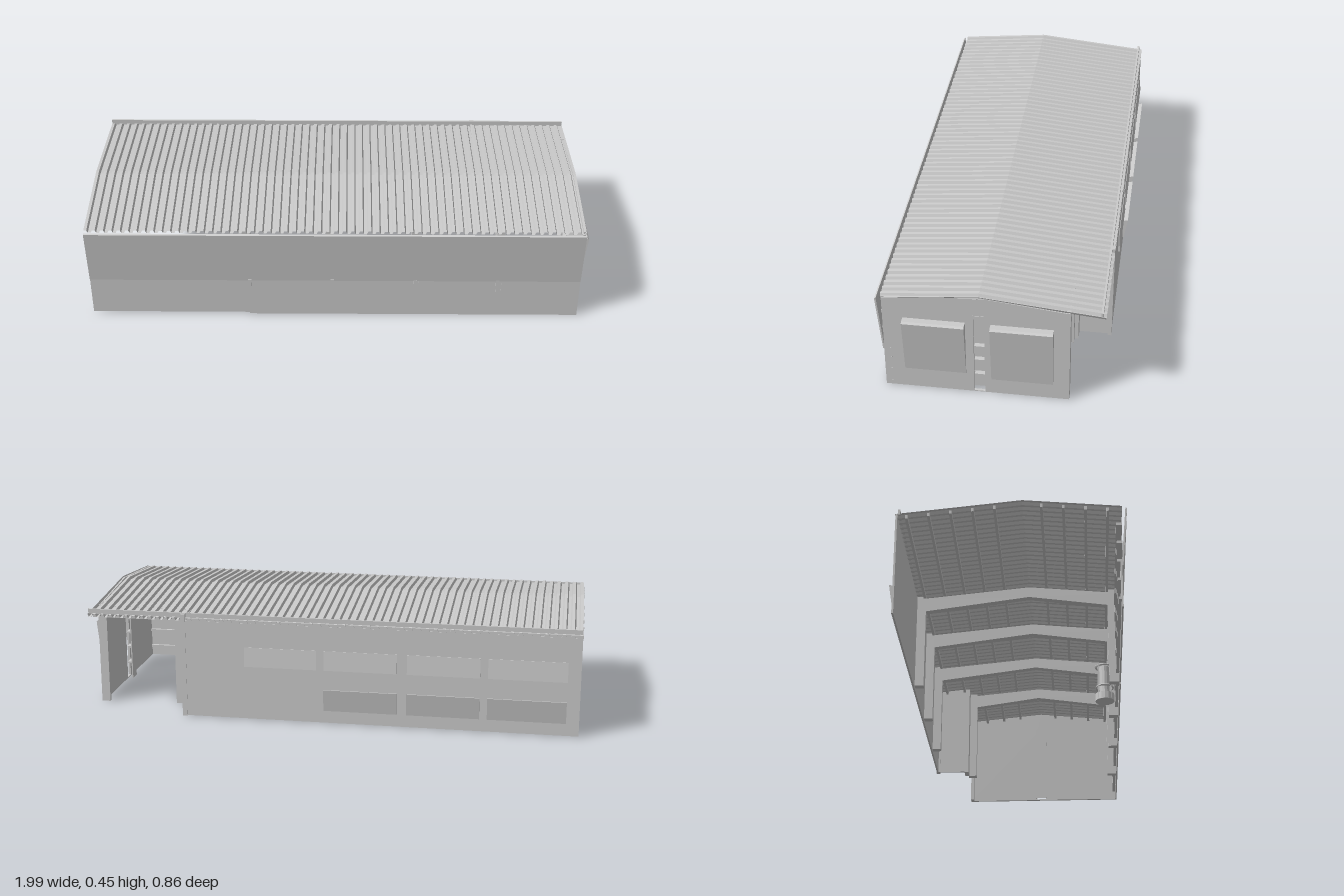
import * as THREE from 'three';

const mat = new THREE.MeshStandardMaterial({ color: 0xcccccc, flatShading: true, side: THREE.DoubleSide });
const X0 = -0.99, X1 = 0.97, RIDGE = 0.05, NOTCH_X = 0.58, NOTCH_Z = -0.285;

// Underside height of the roof line at a given depth
const roofY = z => z > RIDGE ? 0.455 - (z - RIDGE) / 0.36 * 0.035 : 0.455 - (RIDGE - z) / 0.46 * 0.045;

export function createModel() {
  const model = new THREE.Group();
  const add = (name, geo) => {
    const mesh = new THREE.Mesh(geo, mat);
    mesh.name = name;
    model.add(mesh);
    return mesh;
  };
  // Box given by its minimum and maximum corners
  const box = (name, x0, x1, y0, y1, z0, z1) => {
    const mesh = add(name, new THREE.BoxGeometry(x1 - x0, y1 - y0, z1 - z0));
    mesh.position.set((x0 + x1) / 2, (y0 + y1) / 2, (z0 + z1) / 2);
    return mesh;
  };
  const toShape = pts => new THREE.Shape(pts.map(p => new THREE.Vector2(...p)));
  // Profile of [z, y] points extruded along x
  const prism = (name, pts, x0, x1, hole) => {
    const shape = toShape(pts);
    if (hole) shape.holes.push(new THREE.Path(hole.map(p => new THREE.Vector2(...p))));
    const geo = new THREE.ExtrudeGeometry(shape, { depth: x1 - x0, bevelEnabled: false });
    geo.rotateY(-Math.PI / 2);
    add(name, geo).position.x = x1;
  };

  // Corrugated roof slopes with ribs running from ridge to eave
  const corrugated = (name, zA, zB) => {
    const ribs = 60, pitch = (X1 - X0) / ribs, depth = 0.011, pos = [], index = [];
    const profile = [[0, 0], [0.35, 0], [0.5, 1], [0.85, 1]];
    for (let i = 0; i < ribs; i++) for (const [u, d] of profile) {
      const x = X0 + (i + u) * pitch;
      for (const z of [zA, zB]) pos.push(x, roofY(z) - d * depth, z);
    }
    for (const z of [zA, zB]) pos.push(X1, roofY(z), z);
    for (let k = 0; k < ribs * 4; k++) {
      const a = k * 2;
      index.push(a, a + 1, a + 2, a + 2, a + 1, a + 3);
    }
    const geo = new THREE.BufferGeometry();
    geo.setAttribute('position', new THREE.Float32BufferAttribute(pos, 3));
    geo.setIndex(index);
    const flat = geo.toNonIndexed();
    flat.computeVertexNormals();
    add(name, flat);
  };
  corrugated('frontRoof', 0.412, RIDGE);
  corrugated('backRoof', RIDGE, -0.412);
  box('backEaveRim', X0, X1, 0.408, 0.428, -0.401, -0.393);

  // Purlins under both slopes
  for (const z of [-0.37, -0.29, -0.21, -0.13, -0.05, 0.12, 0.2, 0.28, 0.36])
    box('purlin', X0 - 0.003, X1 - 0.01, roofY(z) - 0.026, roofY(z) - 0.012, z - 0.005, z + 0.005);

  // Front wall: upright lower sheet and outward leaning upper sheet
  box('frontWallRight', -0.355, X1, 0.002, 0.2, 0.4, 0.406);
  box('frontWallLeft', X0, -0.355, 0.01, 0.2, 0.4, 0.406);
  prism('frontLeaningSheet', [[0.404, 0.175], [0.41, 0.175], [0.43, 0.41], [0.424, 0.414]], X0, X1);
  for (let i = 0; i < 4; i++) {
    const x = -0.35 + i * 0.33;
    box('frontLowerPanel', x + 0.015, x + 0.315, 0.12, 0.185, 0.405, 0.409);
    box('frontClip', x - 0.007, x + 0.007, 0.118, 0.182, 0.405, 0.413);
  }
  for (let i = 0; i < 5; i++) {
    const y = 0.04 + i * 0.075;
    box('frontGirt', X0, X1 - 0.01, y, y + 0.01, 0.388, y > 0.2 ? 0.41 : 0.402);
  }

  // Back wall with raised upper panels and lower hoppers
  box('backWall', X0, NOTCH_X, 0.004, 0.41, -0.41, -0.403);
  const bays = [[-0.94, -0.635], [-0.605, -0.32], [-0.28, 0.01], [0.04, 0.33]];
  bays.forEach(([a, b], i) => {
    prism('backUpperPanel', [[-0.409, 0.3], [-0.409, 0.222], [-0.418, 0.222], [-0.412, 0.3]], a, b);
    if (i < 3) prism('backHopper', [[-0.409, 0.14], [-0.409, 0.055], [-0.416, 0.055], [-0.43, 0.145]], a, b);
  });

  // Gabled end wall with a central slot
  prism('endWall', [[0.405, 0.002], [0.405, 0.418], [RIDGE, 0.45], [NOTCH_Z, 0.412], [NOTCH_Z, 0.002]],
    X1 - 0.01, X1, [[0.03, 0.006], [0.07, 0.006], [0.07, 0.35], [0.03, 0.35]]);
  box('slotBacking', X1 - 0.035, X1 - 0.03, 0.004, 0.355, 0.025, 0.075);
  for (const y of [0.07, 0.14, 0.205, 0.335])
    box('slotRung', X1 - 0.03, X1 - 0.012, y, y + 0.008, 0.03, 0.07);
  for (const z of [0.041, 0.063])
    box('gableVent', X1 - 0.002, X1 + 0.002, 0.433, 0.446, z - 0.008, z + 0.008);
  box('slotHead', X1 - 0.002, X1 + 0.002, 0.364, 0.368, 0.03, 0.07);
  for (const y of [0.02, 0.083, 0.137, 0.18]) {
    const bolt = add('bolt', new THREE.CylinderGeometry(0.003, 0.003, 0.004, 8));
    bolt.rotation.z = Math.PI / 2;
    bolt.position.set(X1 + 0.001, y, 0.38);
  }

  // End doors, tilted out at the top
  for (const [zA, zB, low] of [[0.1, 0.33, 0.09], [-0.225, 0.006, 0.07]]) {
    const wedge = toShape([[X1 - 0.002, low], [X1 + 0.003, low], [X1 + 0.03, 0.325], [X1 + 0.024, 0.332], [X1 - 0.002, 0.332]]);
    add('endDoor', new THREE.ExtrudeGeometry(wedge, { depth: zB - zA, bevelEnabled: false })).position.z = zA;
  }

  // Recessed corner: partition, corner post and open doorway frame
  box('partition', NOTCH_X - 0.008, NOTCH_X, 0.004, 0.412, -0.41, NOTCH_Z);
  box('partitionPost', NOTCH_X - 0.012, NOTCH_X + 0.008, 0.002, 0.425, -0.412, -0.396);
  box('doorwayLintel', NOTCH_X, X1, 0.375, 0.412, NOTCH_Z, NOTCH_Z + 0.018);
  box('doorwayPost', NOTCH_X - 0.008, NOTCH_X + 0.045, 0.002, 0.412, NOTCH_Z, NOTCH_Z + 0.018);
  box('doorwayEndPost', X1 - 0.035, X1, 0.002, 0.415, NOTCH_Z, NOTCH_Z + 0.014);

  // Portal frames: front post, back post and rafters
  for (const x of [0.64, 0.305, -0.03, -0.36]) {
    const backZ = x > NOTCH_X ? NOTCH_Z + 0.015 : -0.4;
    const a = x - 0.014, b = x + 0.014;
    box('framePostFront', a, b, 0.004, 0.41, 0.362, 0.4);
    box('framePostBack', a, b, 0.004, roofY(backZ) - 0.015, backZ, backZ + 0.035);
    prism('rafter', [[0.4, roofY(0.4) - 0.026], [RIDGE, 0.429], [backZ, roofY(backZ) - 0.026],
      [backZ, roofY(backZ) - 0.085], [RIDGE, 0.385], [0.4, roofY(0.4) - 0.085]], a, b);
  }

  // Small caged drum standing by the front wall
  const cage = new THREE.Group();
  cage.name = 'cagedDrum';
  cage.position.set(-0.185, 0.004, 0.345);
  const part = (geo, x, y, z) => {
    const mesh = new THREE.Mesh(geo, mat);
    mesh.position.set(x, y, z);
    cage.add(mesh);
  };
  part(new THREE.CylinderGeometry(0.038, 0.038, 0.03, 16), 0, 0.015, 0);
  part(new THREE.CylinderGeometry(0.02, 0.02, 0.12, 12), 0, 0.09, 0);
  for (const y of [0.06, 0.15]) {
    const ring = new THREE.TorusGeometry(0.034, 0.004, 6, 16);
    ring.rotateX(Math.PI / 2);
    part(ring, 0, y, 0);
  }
  for (let i = 0; i < 4; i++) {
    const t = (i + 0.5) * Math.PI / 2;
    part(new THREE.BoxGeometry(0.007, 0.15, 0.007), 0.034 * Math.cos(t), 0.08, 0.034 * Math.sin(t));
  }
  model.add(cage);

  return model;
}
